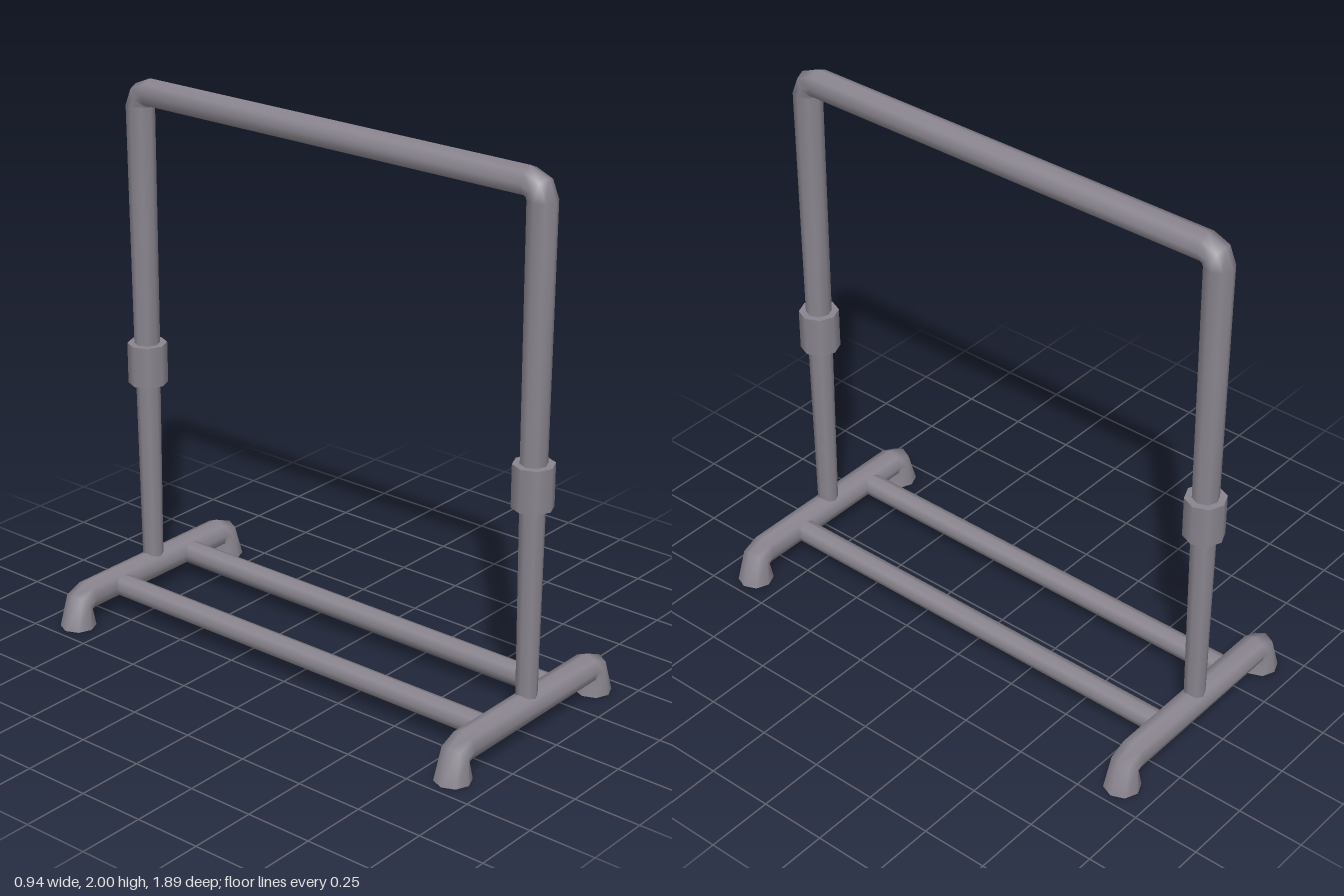
import * as THREE from 'three';

const SIDES = 8;
const steel = new THREE.MeshStandardMaterial({ color: 0x89848e });
steel.name = 'grey steel';

// Capped pipe through rings [x, y, angle of outward normal, radius] lying in the xy plane
function sweep(rings) {
  const pos = [], idx = [];
  const addRing = ([x, y, a, r]) => {
    for (let j = 0; j < SIDES; j++) {
      const t = (j / SIDES) * Math.PI * 2, c = r * Math.cos(t);
      pos.push(x + c * Math.cos(a), y + c * Math.sin(a), r * Math.sin(t));
    }
  };
  rings.forEach(addRing);
  for (let i = 0; i < rings.length - 1; i++) {
    for (let j = 0; j < SIDES; j++) {
      const k = (j + 1) % SIDES, a = i * SIDES, b = a + SIDES;
      idx.push(a + j, b + j, a + k, a + k, b + j, b + k);
    }
  }
  // End caps with their own vertices, so the rim stays sharp
  [rings[0], rings[rings.length - 1]].forEach((ring, end) => {
    const s = pos.length / 3;
    addRing(ring);
    for (let j = 1; j < SIDES - 1; j++) {
      if (end) idx.push(s, s + j + 1, s + j);
      else idx.push(s, s + j, s + j + 1);
    }
  });
  const g = new THREE.BufferGeometry();
  g.setAttribute('position', new THREE.Float32BufferAttribute(pos, 3));
  g.setIndex(idx);
  g.computeVertexNormals();
  return g;
}

// Ring turned about the inner corner of an elbow
const elbow = (px, py, a, r) => [px + r * Math.cos(a), py + r * Math.sin(a), a, r];

// Completes a half path with its mirror image in x
const mirrored = (half) => [
  ...half,
  ...half.slice().reverse().map(([x, y, a, r]) => [-x, y, Math.PI - a, r]),
];

export function createModel() {
  const model = new THREE.Group();
  model.name = 'pipeRack';
  const add = (name, geometry, x, y, z) => {
    const mesh = new THREE.Mesh(geometry, steel);
    mesh.name = name;
    mesh.position.set(x, y, z);
    model.add(mesh);
    return mesh;
  };
  const Q = Math.PI / 4;

  // Upper arch, turned to run along z
  const arch = sweep(mirrored([
    [0.87, 0.98, 0, 0.047],
    elbow(0.819, 1.897, 0, 0.052),
    elbow(0.819, 1.897, Q, 0.052),
    elbow(0.819, 1.897, 2 * Q, 0.052),
  ]));
  add('upperArch', arch, 0, 0, 0).rotation.y = -Math.PI / 2;

  // Base bar with bent, flared feet
  const base = sweep(mirrored([
    [0.405, 0, 0, 0.066],
    elbow(0.355, 0.052, Q, 0.054),
    elbow(0.355, 0.052, 2 * Q, 0.054),
  ]));

  // Lower posts, collars and bases at both ends
  const post = new THREE.CylinderGeometry(0.045, 0.038, 0.76, SIDES);
  const collar = new THREE.CylinderGeometry(0.073, 0.073, 0.155, SIDES);
  for (const [side, z] of [['front', 0.87], ['back', -0.87]]) {
    add(side + 'Base', base, 0, 0, z);
    add(side + 'Post', post, 0, 0.5, z);
    add(side + 'Collar', collar, 0, 0.922, z);
  }

  // Low rails joining the bases
  const rail = new THREE.CylinderGeometry(0.042, 0.042, 1.7, SIDES);
  rail.rotateX(Math.PI / 2);
  add('rightRail', rail, -0.206, 0.104, 0);
  add('leftRail', rail, 0.17, 0.104, 0);

  return model;
}
